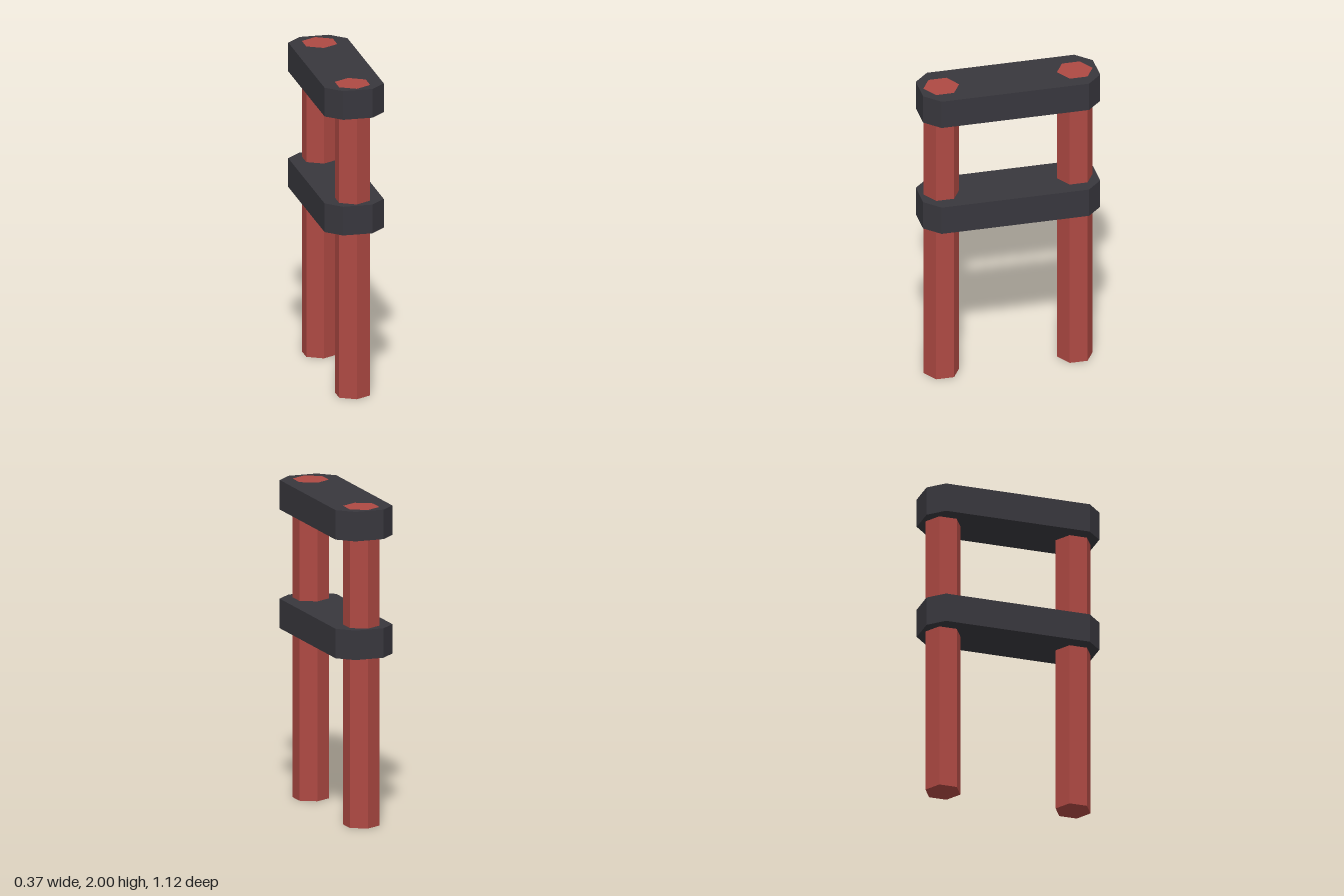
import * as THREE from 'three';

const POST_Z = 0.422, POST_R = 0.113, HEIGHT = 2;
const BAR_X = 0.187, BAR_Z = 0.56, CHAMFER = 0.094, BAR_H = 0.185;

// Flat bar with chamfered corners and a hexagonal socket for each post
function barGeometry() {
  const shape = new THREE.Shape([
    [BAR_X, BAR_Z - CHAMFER], [BAR_X - CHAMFER, BAR_Z],
    [CHAMFER - BAR_X, BAR_Z], [-BAR_X, BAR_Z - CHAMFER],
    [-BAR_X, CHAMFER - BAR_Z], [CHAMFER - BAR_X, -BAR_Z],
    [BAR_X - CHAMFER, -BAR_Z], [BAR_X, CHAMFER - BAR_Z],
  ].map(([x, y]) => new THREE.Vector2(x, y)));

  for (const side of [1, -1]) {
    const hex = [];
    for (let i = 0; i < 6; i++) {
      const a = (i * Math.PI) / 3;
      hex.push(new THREE.Vector2(Math.sin(a) * POST_R, side * POST_Z + Math.cos(a) * POST_R));
    }
    shape.holes.push(new THREE.Path(hex));
  }
  const geometry = new THREE.ExtrudeGeometry(shape, { depth: BAR_H, bevelEnabled: false });
  return geometry.rotateX(-Math.PI / 2);
}

export function createModel() {
  const model = new THREE.Group();
  model.name = 'postAndRailFrame';

  const red = new THREE.MeshStandardMaterial({ color: 0xae4943 });
  red.name = 'brickRed';
  red.flatShading = true;
  const dark = new THREE.MeshStandardMaterial({ color: 0x38373d });
  dark.name = 'charcoal';
  dark.flatShading = true;

  // Two full-height hexagonal posts
  const postGeometry = new THREE.CylinderGeometry(POST_R, POST_R, HEIGHT, 6);
  for (const [name, side] of [['frontPost', 1], ['backPost', -1]]) {
    const post = new THREE.Mesh(postGeometry, red);
    post.name = name;
    post.position.set(0, HEIGHT / 2, side * POST_Z);
    model.add(post);
  }

  // Middle and top bars joining the posts
  const geometry = barGeometry();
  for (const [name, y] of [['middleBar', 1.07], ['topBar', HEIGHT - BAR_H]]) {
    const bar = new THREE.Mesh(geometry, dark);
    bar.name = name;
    bar.position.y = y;
    model.add(bar);
  }

  return model;
}
